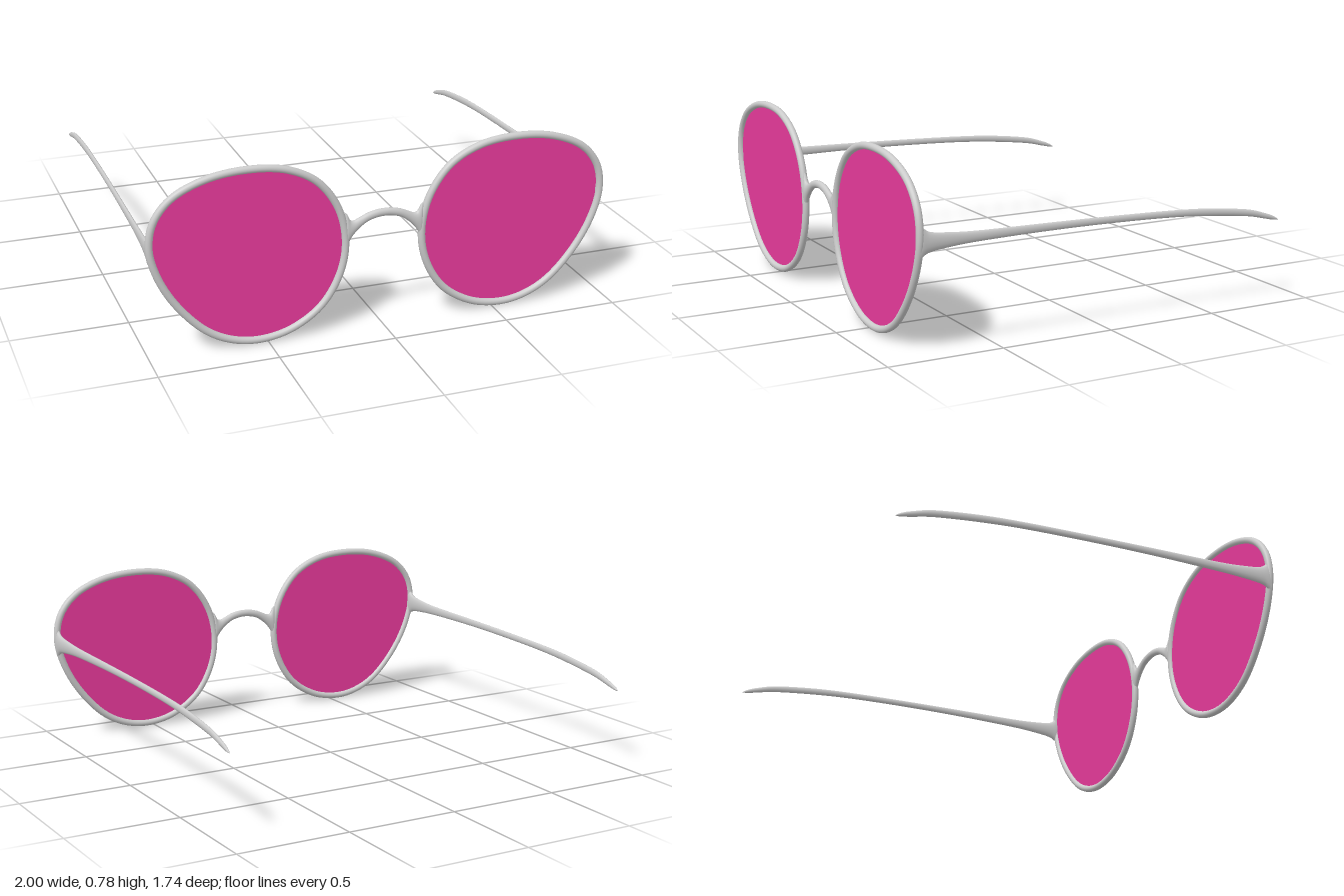
import * as THREE from 'three';

const Z = 0.852; // plane of the front frame
const X = new THREE.Vector3(1, 0, 0);
const Y = new THREE.Vector3(0, 1, 0);
const ZA = new THREE.Vector3(0, 0, 1);

// Centre line of one rim (left side), clockwise from the top
const RIM = [
  [0.58, 0.763], [0.75, 0.743], [0.89, 0.68], [0.963, 0.59], [0.983, 0.48],
  [0.955, 0.36], [0.88, 0.222], [0.76, 0.092], [0.65, 0.034], [0.535, 0.016],
  [0.4, 0.042], [0.27, 0.127], [0.19, 0.26], [0.167, 0.4], [0.2, 0.55],
  [0.29, 0.675], [0.42, 0.743],
];

// Smooth elliptical loft; each key is [x, y, z, radius along u, radius along v]
function loft(keys, u, v, steps, sides) {
  const path = new THREE.CatmullRomCurve3(
    keys.map((k) => new THREE.Vector3(k[0], k[1], k[2])), false, 'catmullrom');
  const size = new THREE.CatmullRomCurve3(
    keys.map((k) => new THREE.Vector3(k[3], k[4], 0)), false, 'catmullrom');
  const pos = [], idx = [];
  for (let i = 0; i <= steps; i++) {
    const c = path.getPoint(i / steps), r = size.getPoint(i / steps);
    for (let j = 0; j < sides; j++) {
      const a = (j / sides) * Math.PI * 2;
      const p = c.clone().addScaledVector(u, Math.cos(a) * r.x).addScaledVector(v, Math.sin(a) * r.y);
      pos.push(p.x, p.y, p.z);
      if (i < steps) {
        const n = (j + 1) % sides, q = i * sides;
        idx.push(q + j, q + n, q + sides + j, q + n, q + sides + n, q + sides + j);
      }
    }
  }
  const g = new THREE.BufferGeometry();
  g.setAttribute('position', new THREE.Float32BufferAttribute(pos, 3));
  g.setIndex(idx);
  g.computeVertexNormals();
  return g;
}

export function createModel() {
  const model = new THREE.Group();
  const grey = new THREE.MeshStandardMaterial({ color: 0xcccccc });
  const pink = new THREE.MeshStandardMaterial({ color: 0xe83a9c, side: THREE.DoubleSide });
  const add = (name, geometry, material) => {
    const mesh = new THREE.Mesh(geometry, material);
    mesh.name = name;
    model.add(mesh);
  };

  for (const [side, s] of [['left', 1], ['right', -1]]) {
    // Rim: round wire following the lens outline
    const outline = new THREE.CatmullRomCurve3(
      RIM.map(([x, y]) => new THREE.Vector3(s * x, y, Z)), true);
    add(side + 'Rim', new THREE.TubeGeometry(outline, 128, 0.0155, 16, true), grey);

    // Lens: thin flat pane inside the rim
    const shape = new THREE.Shape(outline.getPoints(128).map((p) => new THREE.Vector2(p.x, p.y)));
    const lens = new THREE.ShapeGeometry(shape);
    lens.translate(0, 0, Z - 0.003);
    add(side + 'Lens', lens, pink);

    // Temple: flares at the hinge, thins and droops towards the tip
    const temple = [
      [0.956, 0.358, -0.868, 0.001, 0.001],
      [0.956, 0.366, -0.845, 0.006, 0.008],
      [0.956, 0.38, -0.8, 0.008, 0.012],
      [0.957, 0.405, -0.7, 0.009, 0.015],
      [0.959, 0.43, -0.5, 0.009, 0.016],
      [0.961, 0.444, -0.3, 0.009, 0.015],
      [0.964, 0.454, 0, 0.009, 0.015],
      [0.968, 0.459, 0.3, 0.009, 0.017],
      [0.972, 0.46, 0.6, 0.01, 0.022],
      [0.976, 0.461, 0.74, 0.012, 0.031],
      [0.979, 0.462, 0.81, 0.014, 0.041],
      [0.98, 0.465, 0.84, 0.015, 0.06],
      [0.98, 0.467, 0.853, 0.014, 0.075],
    ].map((k) => [s * k[0], ...k.slice(1)]);
    add(side + 'Temple', loft(temple, X, ZA.clone().cross(X), 96, 16), grey);
  }

  // Bridge: arch that flares into both rims
  const half = [
    [0.03, 0.502, Z, 0.017, 0.014],
    [0.07, 0.492, Z, 0.018, 0.014],
    [0.105, 0.473, Z, 0.022, 0.014],
    [0.13, 0.456, Z, 0.029, 0.015],
    [0.148, 0.446, Z, 0.044, 0.016],
    [0.162, 0.445, Z, 0.072, 0.015],
    [0.172, 0.445, Z, 0.08, 0.008],
  ];
  const mirrored = half.map((k) => [-k[0], ...k.slice(1)]).reverse();
  add('bridge', loft([...mirrored, [0, 0.504, Z, 0.0165, 0.014], ...half], Y, ZA, 72, 16), grey);

  return model;
}
